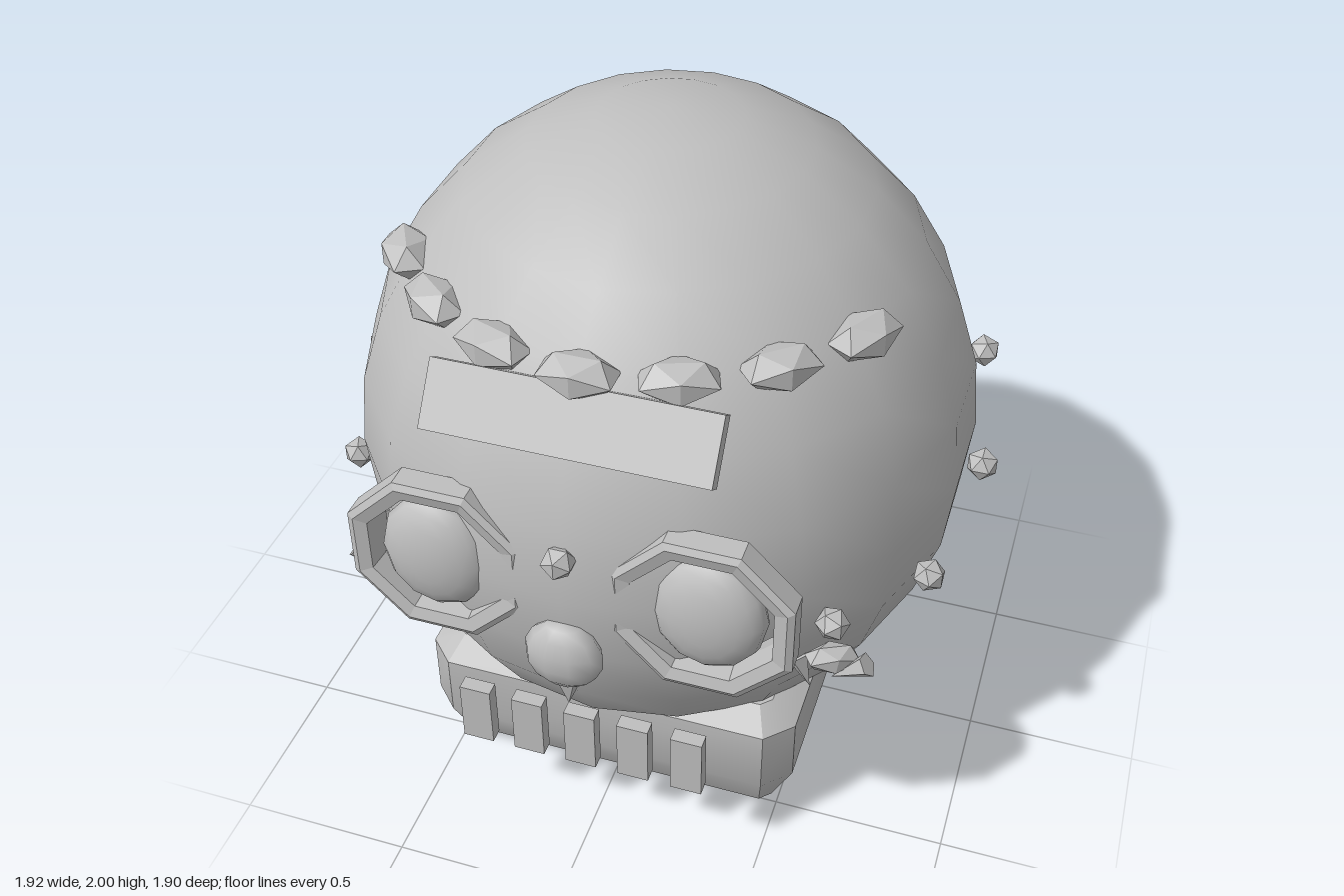
import * as THREE from 'three';
import { toCreasedNormals } from 'three/addons/utils/BufferGeometryUtils.js';

const bone = new THREE.MeshStandardMaterial({ color: 0xbfbfbf });
bone.name = 'bone grey';

export function createModel() {
  const model = new THREE.Group();
  model.name = 'decoratedSkull';

  const add = (name, geo, pos = [0, 0, 0], scale = [1, 1, 1], rot = [0, 0, 0]) => {
    const mesh = new THREE.Mesh(geo, bone);
    mesh.name = name;
    mesh.position.set(...pos);
    mesh.scale.set(...scale);
    mesh.rotation.set(...rot);
    model.add(mesh);
    return mesh;
  };
  const flat = (geo) => {
    const g = geo.index ? geo.toNonIndexed() : geo;
    g.computeVertexNormals();
    return g;
  };
  const gem = new THREE.IcosahedronGeometry(1, 0);

  // Cranium: smooth egg with a corner of its outline at front and back
  const cranium = new THREE.SphereGeometry(1, 18, 14).rotateY(Math.PI / 2);
  add('cranium', cranium, [0, 1.05, -0.01], [0.885, 0.95, 0.905]);

  // Jaw: stacked chamfered rectangles [y, half width, back z, front z, chamfer]
  const levels = [
    [0.005, 0.31, -0.04, 0.37, 0.02],
    [0.075, 0.49, -0.21, 0.56, 0.03],
    [0.22, 0.555, -0.26, 0.63, 0.075],
    [0.42, 0.555, -0.26, 0.63, 0.075],
    [0.48, 0.48, -0.2, 0.56, 0.03],
  ];
  const pos = [], idx = [];
  for (const [y, w, b, f, c] of levels) {
    for (const [x, z] of [[w - c, f], [w, f - c], [w, b + c], [w - c, b],
      [c - w, b], [-w, b + c], [-w, f - c], [c - w, f]]) pos.push(x, y, z);
  }
  for (let l = 0; l < levels.length - 1; l++) {
    for (let i = 0; i < 8; i++) {
      const a = l * 8 + i, b = l * 8 + (i + 1) % 8;
      idx.push(a, b, b + 8, a, b + 8, a + 8);
    }
  }
  const top = (levels.length - 1) * 8;
  for (let i = 1; i < 7; i++) {
    idx.push(0, i + 1, i);
    idx.push(top, top + i, top + i + 1);
  }
  const jaw = new THREE.BufferGeometry();
  jaw.setAttribute('position', new THREE.Float32BufferAttribute(pos, 3));
  jaw.setIndex(idx);
  add('jaw', toCreasedNormals(jaw, 0.5));

  // Teeth
  for (let i = -2; i <= 2; i++) {
    add('tooth', new THREE.BoxGeometry(0.09, 0.195, 0.042), [i * 0.155, 0.443, 0.789]);
  }

  // Forehead plate, leaning back with the brow
  add('foreheadPlate', new THREE.BoxGeometry(0.755, 0.18, 0.05), [0, 1.54, 0.765], [1, 1, 1], [-0.62, 0, 0]);

  // Crown stones along the forehead
  for (const [x, z] of [[0, 0.71], [0.24, 0.66], [0.455, 0.53], [0.62, 0.34]]) {
    for (const s of x ? [1, -1] : [1]) {
      add('crownStone', gem, [s * x, 1.645, z], [0.115, 0.06, 0.075], [0, Math.atan2(s * x, z), 0]);
    }
  }

  // Octagonal eye frame: apothem and depth
  const k = 1 / Math.cos(Math.PI / 8);
  const profile = [[0.19, -0.08], [0.24, -0.035], [0.24, 0.03], [0.222, 0.04],
    [0.187, 0.03], [0.18, -0.03], [0.19, -0.08]].map(([r, h]) => new THREE.Vector2(r * k, h));
  const frame = flat(new THREE.LatheGeometry(profile, 8, Math.PI / 8).rotateX(Math.PI / 2));
  const eye = new THREE.SphereGeometry(1, 12, 10).rotateX(Math.PI / 2);

  for (const s of [1, -1]) {
    add('eyeFrame', frame, [s * 0.36, 1.06, 0.825]);
    add('eye', eye, [s * 0.37, 1.06, 0.81], [0.155, 0.18, 0.08]);

    // Cheek ornament: slanted stone with two hanging points
    add('cheekStone', gem, [s * 0.65, 0.765, 0.59], [0.085, 0.045, 0.045], [0, s * 0.6, -s * 0.15]);
    for (const [x, y, tilt] of [[0.575, 0.705, 0.35], [0.7, 0.74, -0.9]]) {
      add('cheekPoint', flat(new THREE.ConeGeometry(0.035, 0.12, 5)), [s * x, y, 0.6],
        [1, 1, 1], [0, 0, Math.PI - s * tilt * -1]);
    }
  }

  // Nose stone and its drop
  add('noseStone', new THREE.SphereGeometry(1, 10, 7), [0, 0.865, 0.885], [0.11, 0.11, 0.062]);
  add('noseDrop', flat(new THREE.ConeGeometry(0.07, 0.17, 5)), [0, 0.745, 0.87], [1, 1, 0.6], [Math.PI, 0, 0]);

  // Studs circling the head
  const studs = [[0, 1.19, 0.89], [0.65, 0.93, 0.63], [0.85, 0.9, 0.34], [0.92, 1.04, 0],
    [0.85, 1.175, -0.35], [0.65, 1.145, -0.645], [0.36, 0.98, -0.85], [0, 0.89, -0.92]];
  for (const [x, y, z] of studs) {
    for (const s of x ? [1, -1] : [1]) {
      add('stud', gem, [s * x, y, z], [0.047, 0.047, 0.047], [0, Math.atan2(s * x, z), 0]);
    }
  }
  return model;
}
